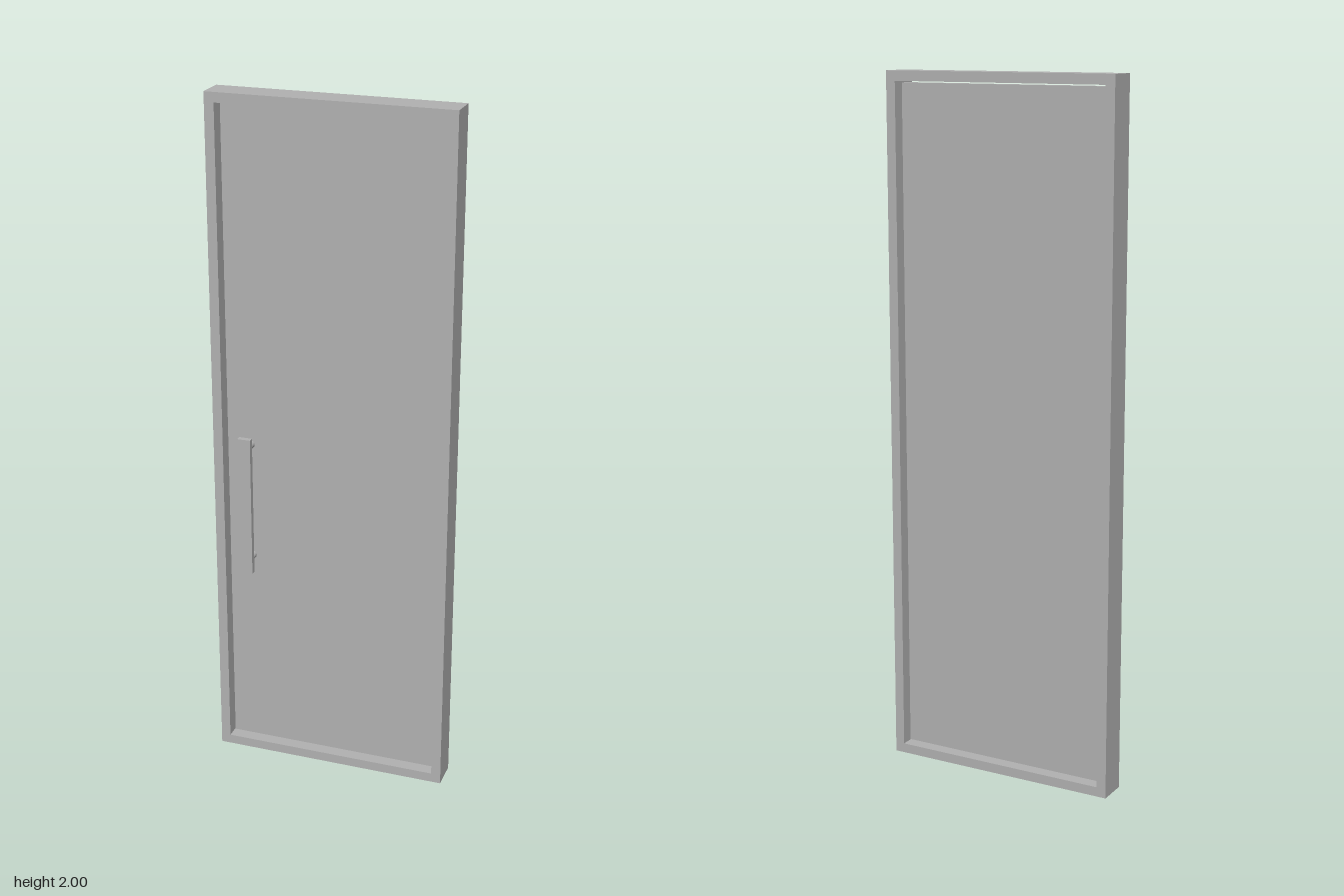
import * as THREE from 'three';

export function createModel() {
  const group = new THREE.Group();
  group.name = 'door';
  const grey = new THREE.MeshStandardMaterial({ color: 0xb2b2b2 });
  grey.name = 'grey';

  const add = (name, geometry, x, y, z) => {
    const mesh = new THREE.Mesh(geometry, grey);
    mesh.name = name;
    mesh.position.set(x, y, z);
    group.add(mesh);
    return mesh;
  };

  const halfWidth = 0.348, height = 2, border = 0.028;
  const back = -0.058, front = 0.03;

  // Surrounding frame with a rectangular opening
  const outline = new THREE.Shape([
    new THREE.Vector2(-halfWidth, 0), new THREE.Vector2(halfWidth, 0),
    new THREE.Vector2(halfWidth, height), new THREE.Vector2(-halfWidth, height),
  ]);
  const inX = halfWidth - border;
  outline.holes.push(new THREE.Path([
    new THREE.Vector2(-inX, border), new THREE.Vector2(-inX, height - border),
    new THREE.Vector2(inX, height - border), new THREE.Vector2(inX, border),
  ]));
  add('frame', new THREE.ExtrudeGeometry(outline, { depth: front - back, bevelEnabled: false }), 0, 0, back);

  // Door leaf, recessed on both sides with a narrow clearance
  const gap = 0.005;
  add('doorLeaf', new THREE.BoxGeometry(2 * (inX - gap), height - 2 * (border + gap), 0.03), 0, height / 2, -0.015);

  // Pull handle: flat bar on two round posts
  const handleX = -0.245;
  add('handleBar', new THREE.BoxGeometry(0.038, 0.42, 0.016), handleX, 0.82, 0.048);
  for (const y of [0.645, 0.995]) {
    const post = add('handlePost', new THREE.CylinderGeometry(0.011, 0.011, 0.042, 24), handleX, y, 0.02);
    post.rotation.x = Math.PI / 2;
  }
  return group;
}
